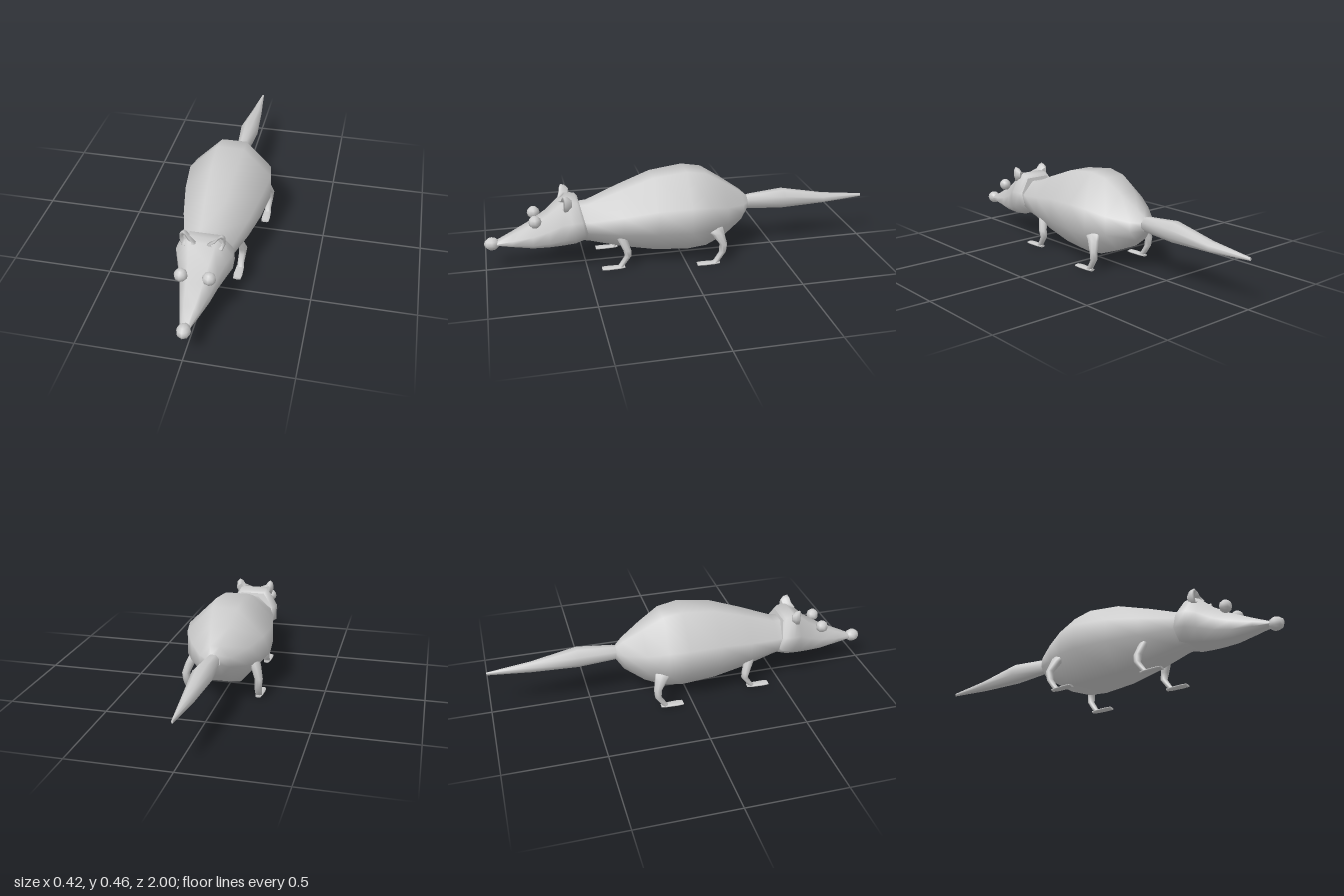
import * as THREE from 'three';

const material = new THREE.MeshStandardMaterial({ color: 0xcccccc });

// Skin a list of rings (arrays of [x, y, z]) with flat end caps; winding is fixed by signed volume.
function loft(rings) {
  const n = rings[0].length;
  const pos = rings.flat(2);
  const idx = [];
  for (let r = 0; r < rings.length - 1; r++) {
    for (let i = 0; i < n; i++) {
      const a = r * n + i, b = r * n + (i + 1) % n;
      idx.push(a, b, a + n, b, b + n, a + n);
    }
  }
  for (const [ring, end] of [[rings[0], false], [rings[rings.length - 1], true]]) {
    const s = pos.length / 3;
    pos.push(...ring.flat());
    for (let i = 1; i < n - 1; i++) idx.push(s, s + (end ? i : i + 1), s + (end ? i + 1 : i));
  }
  const p = (i) => new THREE.Vector3().fromArray(pos, i * 3);
  let volume = 0;
  for (let i = 0; i < idx.length; i += 3) volume += p(idx[i]).dot(p(idx[i + 1]).cross(p(idx[i + 2])));
  if (volume < 0) idx.reverse();
  const g = new THREE.BufferGeometry();
  g.setAttribute('position', new THREE.Float32BufferAttribute(pos, 3));
  g.setIndex(idx);
  g.computeVertexNormals();
  return g;
}

// Eight-sided section: half width, bottom, top; lo/hi place the flat side, tw/bw the flat top and bottom.
function octagon(z, w, bottom, top, { lo, hi, tw, bw }, shear = 0) {
  const h = top - bottom;
  const half = [[bw, 0], [1, lo], [1, hi], [tw, 1]];
  const all = [...half, ...half.slice().reverse().map(([x, f]) => [-x, f])];
  return all.map(([x, f]) => [x * w, bottom + f * h, z + shear * (f - 0.5)]);
}

// Elliptical ring, lying flat or standing upright across z.
function ellipse([x, y, z, a, b], upright, n = 8) {
  return Array.from({ length: n }, (_, i) => {
    const t = (i + 0.5) / n * Math.PI * 2, u = a * Math.cos(t), v = b * Math.sin(t);
    return upright ? [x + u, y + v, z] : [x + u, y, z + v];
  });
}

function add(parent, name, geometry) {
  const mesh = new THREE.Mesh(geometry, material);
  mesh.name = name;
  parent.add(mesh);
  return mesh;
}

export function createModel() {
  const model = new THREE.Group();
  model.name = 'animal';

  // Plump body, from neck to rump
  const bodyShape = { lo: 0.33, hi: 0.65, tw: 0.32, bw: 0.43 };
  add(model, 'body', loft([
    [0.53, 0.105, 0.14, 0.32], [0.48, 0.118, 0.133, 0.323], [0.32, 0.16, 0.095, 0.385],
    [0.15, 0.193, 0.065, 0.445], [-0.02, 0.212, 0.055, 0.465], [-0.12, 0.195, 0.062, 0.448],
    [-0.22, 0.145, 0.098, 0.385], [-0.32, 0.075, 0.165, 0.317], [-0.355, 0.035, 0.215, 0.285],
  ].map(([z, w, b, t]) => octagon(z, w, b, t, bodyShape))));

  // Tail, swollen then tapering to a point
  add(model, 'tail', loft([
    [0, 0.25, -0.32, 0.03, 0.03], [0, 0.252, -0.37, 0.034, 0.04], [0, 0.255, -0.55, 0.05, 0.053],
    [0, 0.236, -0.78, 0.03, 0.027], [0, 0.232, -1, 0.005, 0.008],
  ].map((r) => ellipse(r, true))));

  // Wedge-shaped head with an overhanging collar at the back
  const headShape = { lo: 0.22, hi: 0.58, tw: 0.55, bw: 0.5 };
  add(model, 'head', loft([
    [0.502, 0.118, 0.163, 0.338, 0.04], [0.515, 0.132, 0.15, 0.35, 0.04], [0.565, 0.134, 0.132, 0.36, 0.03],
    [0.61, 0.115, 0.122, 0.348, 0], [0.68, 0.088, 0.113, 0.287, 0], [0.76, 0.069, 0.111, 0.238, 0],
    [0.86, 0.044, 0.123, 0.19, 0], [0.95, 0.02, 0.135, 0.15, 0],
  ].map(([z, w, b, t, s]) => octagon(z, w, b, t, headShape, s))));

  const nose = add(model, 'nose', new THREE.SphereGeometry(0.033, 8, 6));
  nose.scale.z = 1.2;
  nose.position.set(0, 0.142, 0.96);

  // Ear rim, shrunk towards its middle for the back and the hollow
  const rim = [[0.025, 0.35], [0.06, 0.365], [0.075, 0.387], [0.09, 0.396], [0.104, 0.382],
    [0.107, 0.35], [0.095, 0.315], [0.06, 0.325]];
  const earRing = (side, k, z) => rim.map(([x, y]) => [
    side * (0.076 + (x - 0.076) * k), 0.35 + (y - 0.35) * k, z - (x - 0.076) * 0.3 * k]);

  for (const side of [1, -1]) {
    const label = side > 0 ? 'left' : 'right';

    const eye = add(model, label + 'Eye', new THREE.SphereGeometry(0.032, 8, 6));
    eye.position.set(side * 0.065, 0.266, 0.745);

    add(model, label + 'Ear', loft([
      earRing(side, 0.5, 0.565), earRing(side, 0.92, 0.585), earRing(side, 1, 0.605),
      earRing(side, 0.8, 0.61), earRing(side, 0.5, 0.585),
    ]));

    // Legs: [x, y, z, half width, half depth], shoulder down to ankle
    const legs = {
      Front: [[0.108, 0.19, 0.335, 0.02, 0.025], [0.114, 0.16, 0.325, 0.022, 0.026],
        [0.133, 0.1, 0.302, 0.021, 0.021], [0.13, 0.065, 0.298, 0.019, 0.017],
        [0.127, 0.025, 0.325, 0.017, 0.015], [0.127, 0.006, 0.34, 0.017, 0.017]],
      Back: [[0.14, 0.225, -0.13, 0.015, 0.018], [0.158, 0.19, -0.137, 0.024, 0.052],
        [0.17, 0.16, -0.158, 0.025, 0.035], [0.188, 0.11, -0.182, 0.021, 0.02],
        [0.185, 0.065, -0.18, 0.019, 0.017], [0.182, 0.025, -0.155, 0.017, 0.016],
        [0.182, 0.006, -0.14, 0.017, 0.017]],
    };
    for (const [end, path] of Object.entries(legs)) {
      const leg = new THREE.Group();
      leg.name = label + end + 'Leg';
      model.add(leg);
      add(leg, 'limb', loft(path.map(([x, ...rest]) => ellipse([side * x, ...rest], false))));
      // Flat foot reaching forward from the ankle
      const [x, , z] = path[path.length - 1];
      add(leg, 'foot', loft([[-0.025, 0.014, 0.006], [0, 0.02, 0.007], [0.06, 0.023, 0.007], [0.09, 0.02, 0.006]]
        .map(([dz, a, b]) => ellipse([side * x, 0.0065, z + dz, a, b], true))));
    }
  }
  return model;
}
